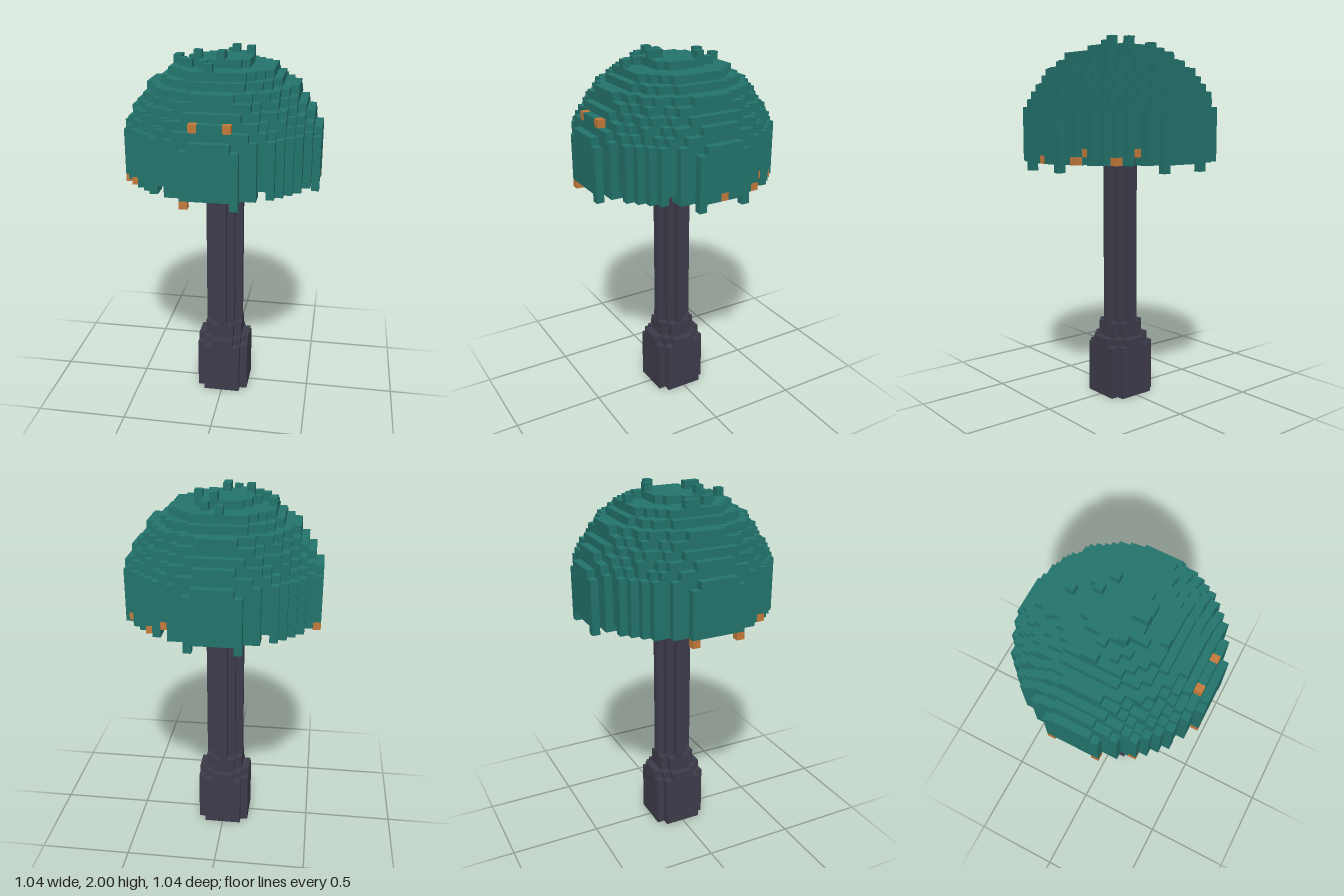
import * as THREE from 'three';

const U = 2 / 48; // edge of one cube
const key = (i, j, k) => `${i},${j},${k}`;

// Faces: outward direction and two in-plane axes with a x b = direction
const FACES = [
  [[1, 0, 0], [0, 1, 0], [0, 0, 1]], [[-1, 0, 0], [0, 0, 1], [0, 1, 0]],
  [[0, 1, 0], [0, 0, 1], [1, 0, 0]], [[0, -1, 0], [1, 0, 0], [0, 0, 1]],
  [[0, 0, 1], [1, 0, 0], [0, 1, 0]], [[0, 0, -1], [0, 1, 0], [1, 0, 0]],
];

// One mesh from all cubes of a part, keeping only uncovered faces
function cubeMesh(name, cells, solid, material) {
  const pos = [], nor = [];
  for (const [i, j, k] of cells) {
    for (const [n, a, b] of FACES) {
      if (solid.has(key(i + n[0], j + n[1], k + n[2]))) continue;
      for (const [s, t] of [[-1, -1], [1, -1], [1, 1], [-1, -1], [1, 1], [-1, 1]]) {
        const c = [i, j + 0.5, k];
        for (let d = 0; d < 3; d++) pos.push((c[d] + (n[d] + s * a[d] + t * b[d]) / 2) * U);
        nor.push(...n);
      }
    }
  }
  const geometry = new THREE.BufferGeometry();
  geometry.setAttribute('position', new THREE.Float32BufferAttribute(pos, 3));
  geometry.setAttribute('normal', new THREE.Float32BufferAttribute(nor, 3));
  const mesh = new THREE.Mesh(geometry, material);
  mesh.name = name;
  return mesh;
}

// Calls fn for every cell of a round layer
function disc(r2, fn) {
  const r = Math.floor(Math.sqrt(r2));
  for (let i = -r; i <= r; i++)
    for (let k = -r; k <= r; k++) if (i * i + k * k <= r2) fn(i, k);
}

// Squared radius of the cap at each layer
const CAP_BOTTOM = 32;
const CAP = [154, 154, 154, 154, 154, 153, 149, 138, 128, 114, 98, 85, 62, 45, 15];
const inCap = (i, j, k) => j < CAP_BOTTOM || i * i + k * k <= (CAP[j - CAP_BOTTOM] ?? -1);

// True for cells within one cube of the cap's outside
function isShell(i, j, k) {
  for (let a = -1; a <= 1; a++)
    for (let b = -1; b <= 1; b++)
      if (!inCap(i + a, j, k + b) || !inCap(i + a, j + 1, k + b)) return true;
  return false;
}

export function createModel() {
  const teal = new THREE.MeshStandardMaterial({ color: 0x23736c });
  const bark = new THREE.MeshStandardMaterial({ color: 0x3e3b4a });
  const orange = new THREE.MeshStandardMaterial({ color: 0xc47a3c });
  teal.name = 'teal cap';
  bark.name = 'dark stem';
  orange.name = 'orange spot';

  const parts = { base: new Map(), stem: new Map(), cap: new Map(), spots: new Map() };
  const add = (part, i, j, k) => parts[part].set(key(i, j, k), [i, j, k]);

  // Stem: wide foot, two collars, then a ridged shaft
  for (let j = 0; j < 45; j++) {
    const r2 = j < 7 ? 13 : j < 8 ? 10 : j < 10 ? 5 : 4;
    disc(r2, (i, k) => add(j < 10 ? 'base' : 'stem', i, j, k));
  }

  // Cap: hollow stepped dome
  CAP.forEach((r2, n) => disc(r2, (i, k) => {
    const j = CAP_BOTTOM + n;
    if (isShell(i, j, k) && !parts.stem.has(key(i, j, k))) add('cap', i, j, k);
  }));

  // Notches and hanging cubes along the rim
  for (const s of [-1, 1]) {
    for (const t of [-1, 1]) {
      for (const r of [9, 10]) parts.cap.delete(key(6 * s, CAP_BOTTOM, r * t));
      parts.cap.delete(key(10, CAP_BOTTOM, 6 * s));
      add('cap', 12 * s, 31, 3 * t);
      add('cap', 3 * s, 31, 12 * t);
    }
  }

  // Loose cubes on the crown
  for (const [i, k] of [[-6, 0], [-6, -1], [-4, 0], [-5, 2], [-4, 3], [-1, 6], [-2, 4], [0, -6], [2, -4]])
    add('cap', i, 46, k);
  for (const [i, k] of [[-3, 2], [0, 2], [0, 3], [1, -3], [3, -2]]) add('cap', i, 47, k);

  // Glowing spots on the rim and the front of the dome
  const spots = [
    [-12, 31, 3], [-12, 31, -3], [-3, 31, 12], [-10, 32, 7], [12, 32, 0], [11, 32, -5],
    [10, 33, -6], [8, 32, -9], [6, 33, -10], [8, 32, 8], [0, 32, 11], [-3, 32, 10],
    [-2, 40, 11], [2, 40, 11], [-2, 40, 10], [2, 40, 10],
  ];
  for (const [i, j, k] of spots) {
    parts.cap.delete(key(i, j, k));
    add('spots', i, j, k);
  }

  const solid = new Set(Object.values(parts).flatMap((m) => [...m.keys()]));
  const group = new THREE.Group();
  group.name = 'mushroom tree';
  const materials = { base: bark, stem: bark, cap: teal, spots: orange };
  for (const [name, cells] of Object.entries(parts))
    group.add(cubeMesh(name, cells.values(), solid, materials[name]));
  return group;
}
